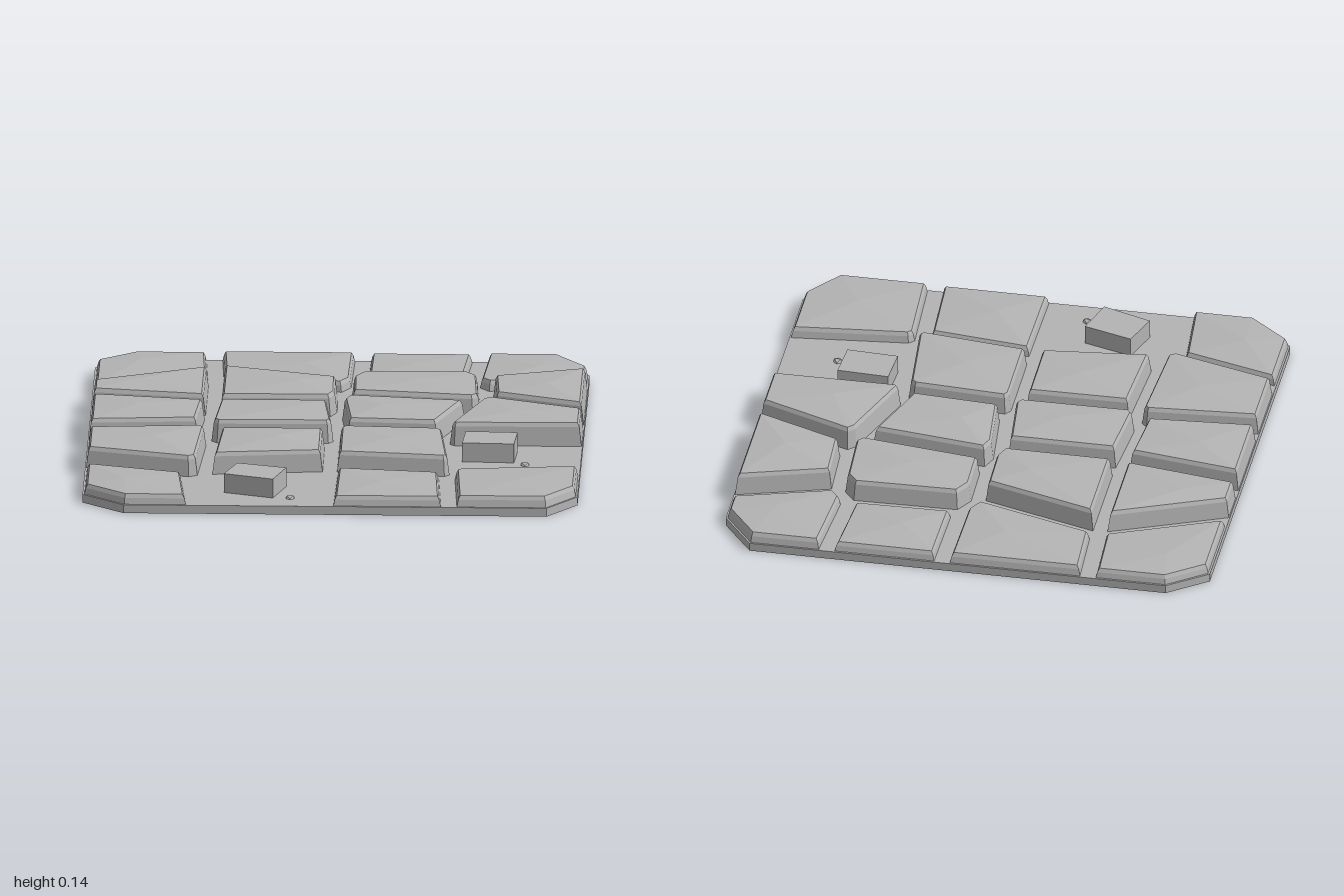
import * as THREE from 'three';

const stoneGrey = new THREE.MeshStandardMaterial({ color: 0xb4b4b4, side: THREE.DoubleSide });
stoneGrey.name = 'stoneGrey';

// Joints of the paving, back to front and left to right in x; where the channels
// meet in two steps, a joint has an upper and a lower point
const joints = [
  [[-.84, -1, -1, -.88], [-.52, -1], [.08, -1], [.555, -1], [.87, -1, 1, -.83]],
  [[-1, -.48], [-.505, -.69], [.075, -.625, .02, -.53], [.53, -.635, .59, -.56], [1, -.685]],
  [[-1, -.275], [-.505, -.2], [.025, -.29, -.01, -.2], [.605, -.27, .555, -.22], [1, -.115]],
  [[-1, .16], [-.53, .125, -.49, .17], [.022, .115, -.012, .165], [.43, .14, .47, .18], [1, .175]],
  [[-1, .52], [-.515, .605, -.575, .64], [-.01, .55], [.505, .565, .465, .605], [1, .515]],
  [[-1, .86, -.83, 1], [-.545, 1], [-.015, 1], [.485, 1], [1, .84, .88, 1]],
];
const rowNames = ['backStone', 'rearMiddleStone', 'centreStone', 'frontMiddleStone', 'frontStone'];
const rowHeights = [.09, .138, .142, .136, .092];
const missing = ['3,3', '4,1'];

// Outline through four joints, clockwise from above, starting at the back left
function outlineOf(corners) {
  return corners.flatMap(([x, z, x2, z2], k) => {
    if (x2 === undefined) return [[x, z]];
    const order = x > x2 ? [[1, 0], [1], [0, 1], [0]] : [[1], [0, 1], [0], [1, 0]];
    return order[k].map(i => (i ? [x2, z2] : [x, z]));
  });
}

// Move each edge of a convex outline inward by its own distance
function inset(outline, distance) {
  const n = outline.length;
  const edges = outline.map(([x, z], i) => {
    const [u, w] = outline[(i + 1) % n];
    const l = Math.hypot(u - x, w - z);
    return { nx: (z - w) / l, nz: (u - x) / l, d: distance((x + u) / 2, (z + w) / 2) };
  });
  return outline.map(([x, z], i) => {
    const a = edges[(i + n - 1) % n], b = edges[i];
    const c = a.nx * b.nx + a.nz * b.nz;
    const s = (a.d - c * b.d) / (1 - c * c), t = (b.d - c * a.d) / (1 - c * c);
    return [x + a.nx * s + b.nx * t, z + a.nz * s + b.nz * t];
  });
}

// Half a channel along inner edges, nothing along the outer rim
const channel = (x, z) =>
  Math.max(Math.abs(x), Math.abs(z)) > .999 || Math.abs(x) + Math.abs(z) > 1.7 ? 0 : .025;

// Open-bottomed faceted shell: rings of [height, inset], closed by a fan to the peak
function shell(name, outline, rings, peak, shift = [0, 0]) {
  const n = outline.length, pos = [];
  const loops = rings.map(([y, t]) => inset(outline, () => t).map(([x, z]) => [x, y, z]));
  const [cx, cz] = [0, 1].map(k => outline.reduce((s, p) => s + p[k], 0) / n + shift[k]);
  const top = loops[loops.length - 1];
  for (let i = 0; i < n; i++) {
    const j = (i + 1) % n;
    for (let r = 0; r + 1 < loops.length; r++) {
      const a = loops[r], b = loops[r + 1];
      pos.push(...a[j], ...a[i], ...b[i], ...a[j], ...b[i], ...b[j]);
    }
    pos.push(...top[j], ...top[i], cx, peak, cz);
  }
  const geo = new THREE.BufferGeometry();
  geo.setAttribute('position', new THREE.Float32BufferAttribute(pos, 3));
  geo.computeVertexNormals();
  const mesh = new THREE.Mesh(geo, stoneGrey);
  mesh.name = name;
  return mesh;
}

export function createModel() {
  const model = new THREE.Group();
  model.name = 'stonePaving';

  // Floor between the stones, with clipped corners and a skirt to the ground
  const rim = outlineOf([joints[0][0], joints[0][4], joints[5][4], joints[5][0]]);
  model.add(shell('floor', rim, [[0, 0], [.035, 0]], .035));

  // Stones with leaning sides, a narrow bevel and a shallow faceted crown
  rowNames.forEach((name, r) => {
    for (let c = 0; c < 4; c++) {
      if (missing.includes(`${r},${c}`)) continue;
      const cell = outlineOf([joints[r][c], joints[r][c + 1], joints[r + 1][c + 1], joints[r + 1][c]]);
      const h = rowHeights[r] - (c % 2 ? 0 : .004);
      const rings = [[0, 0], [h - .028, .013], [h - .012, .021]];
      const shift = [c % 2 ? .03 : -.03, c > 1 ? .02 : -.02];
      model.add(shell(name + (c + 1), inset(cell, channel), rings, h, shift));
    }
  });

  // Loose blocks standing where stones are missing
  const blocks = [
    [[-.38, .67], [-.18, .73], [-.23, .89], [-.43, .82]],
    [[.53, .21], [.74, .22], [.73, .38], [.52, .37]],
  ];
  blocks.forEach((b, i) => model.add(shell('looseBlock' + (i + 1), b, [[0, 0], [.115, 0]], .115)));

  // Pebbles beside the blocks
  [[-.16, .89], [.775, .41]].forEach(([x, z], i) => {
    const pebble = new THREE.Mesh(new THREE.IcosahedronGeometry(.024, 0), stoneGrey);
    pebble.name = 'pebble' + (i + 1);
    pebble.position.set(x, .026, z);
    model.add(pebble);
  });

  return model;
}
